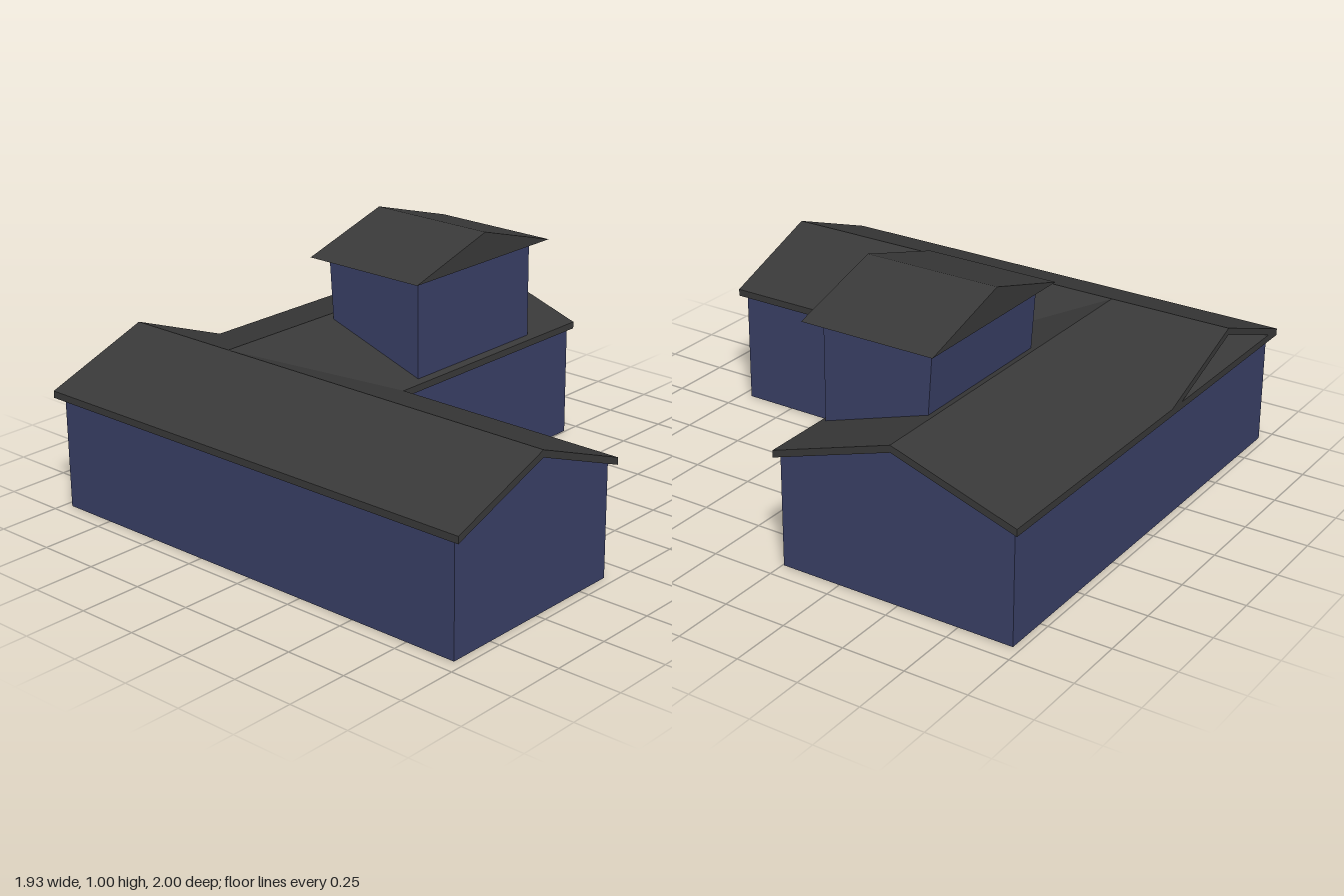
import * as THREE from 'three';

const EAVE = 0.477, RIDGE = 0.64, THICK = 0.028;

export function createModel() {
  const group = new THREE.Group();
  const wallBlue = new THREE.MeshStandardMaterial({ color: 0x3a4067 });
  wallBlue.name = 'wall blue';
  const roofGrey = new THREE.MeshStandardMaterial({ color: 0x393939 });
  roofGrey.name = 'roof grey';

  const add = (name, geometry, material) => {
    const mesh = new THREE.Mesh(geometry, material);
    mesh.name = name;
    group.add(mesh);
    return mesh;
  };

  // Profile in x/y, extruded along +z
  const prism = (points, depth) => new THREE.ExtrudeGeometry(
    new THREE.Shape(points.map(p => new THREE.Vector2(...p))), { depth, bevelEnabled: false });

  // Profile in -z/y, extruded along +x from x0
  const sidePrism = (points, x0, length) =>
    prism(points, length).rotateY(Math.PI / 2).translate(x0, 0, 0);

  // Sloping four-cornered roof sheet; corners run anticlockwise seen from above
  const slab = (corners) => {
    const top = corners, low = corners.map(([x, y, z]) => [x, y - THICK, z]);
    const pos = [];
    const quad = (a, b, c, d) => pos.push(...a, ...b, ...c, ...a, ...c, ...d);
    quad(...top);
    quad(low[3], low[2], low[1], low[0]);
    for (let i = 0; i < 4; i++) {
      const j = (i + 1) % 4;
      quad(top[i], low[i], low[j], top[j]);
    }
    const g = new THREE.BufferGeometry();
    g.setAttribute('position', new THREE.Float32BufferAttribute(pos, 3));
    g.computeVertexNormals();
    return g;
  };

  // Long wing walls: gabled front part and flat-topped rear corner
  add('longWingWalls', prism(
    [[-0.94, 0], [-0.105, 0], [-0.105, 0.45], [-0.53, 0.608], [-0.94, 0.45]], 1.46)
    .translate(0, 0, -0.5), wallBlue);
  add('rearCornerWalls', new THREE.BoxGeometry(0.44, 0.45, 0.47)
    .translate(-0.72, 0.225, -0.735), wallBlue);

  // Cross wing walls
  add('crossWingWalls', sidePrism(
    [[0.005, 0], [0.97, 0], [0.97, 0.45], [0.5, 0.608], [0.005, 0.45]], -0.53, 1.457), wallBlue);

  // Long wing roof
  add('longWingRoofRight', slab([
    [-0.97, EAVE, -1], [-0.97, EAVE, 1], [-0.53, RIDGE, 1], [-0.53, RIDGE, -1]]), roofGrey);
  add('longWingRoofLeft', slab([
    [-0.53, RIDGE, -1], [-0.53, RIDGE, 1], [-0.1, EAVE, 1], [-0.1, EAVE, -1]]), roofGrey);

  // Cross wing roof, cut back where it meets the long wing
  add('crossWingRoofFront', slab([
    [-0.53, RIDGE, -0.5], [-0.1, EAVE, 0], [0.965, EAVE, 0], [0.965, RIDGE, -0.5]]), roofGrey);
  add('crossWingRoofBack', slab([
    [-0.97, EAVE, -1], [-0.53, RIDGE, -0.5], [0.965, RIDGE, -0.5], [0.965, EAVE, -1]]), roofGrey);

  // Tower with slightly leaning back wall
  add('towerWalls', sidePrism(
    [[0.027, 0.485], [0.459, 0.485], [0.485, 0.89], [0.027, 0.89]], 0.015, 0.675), wallBlue);
  add('towerRoof', prism(
    [[-0.045, 0.885], [0.757, 0.885], [0.355, 1.005]], 0.55).translate(0, 0, -0.53), roofGrey);

  return group;
}
